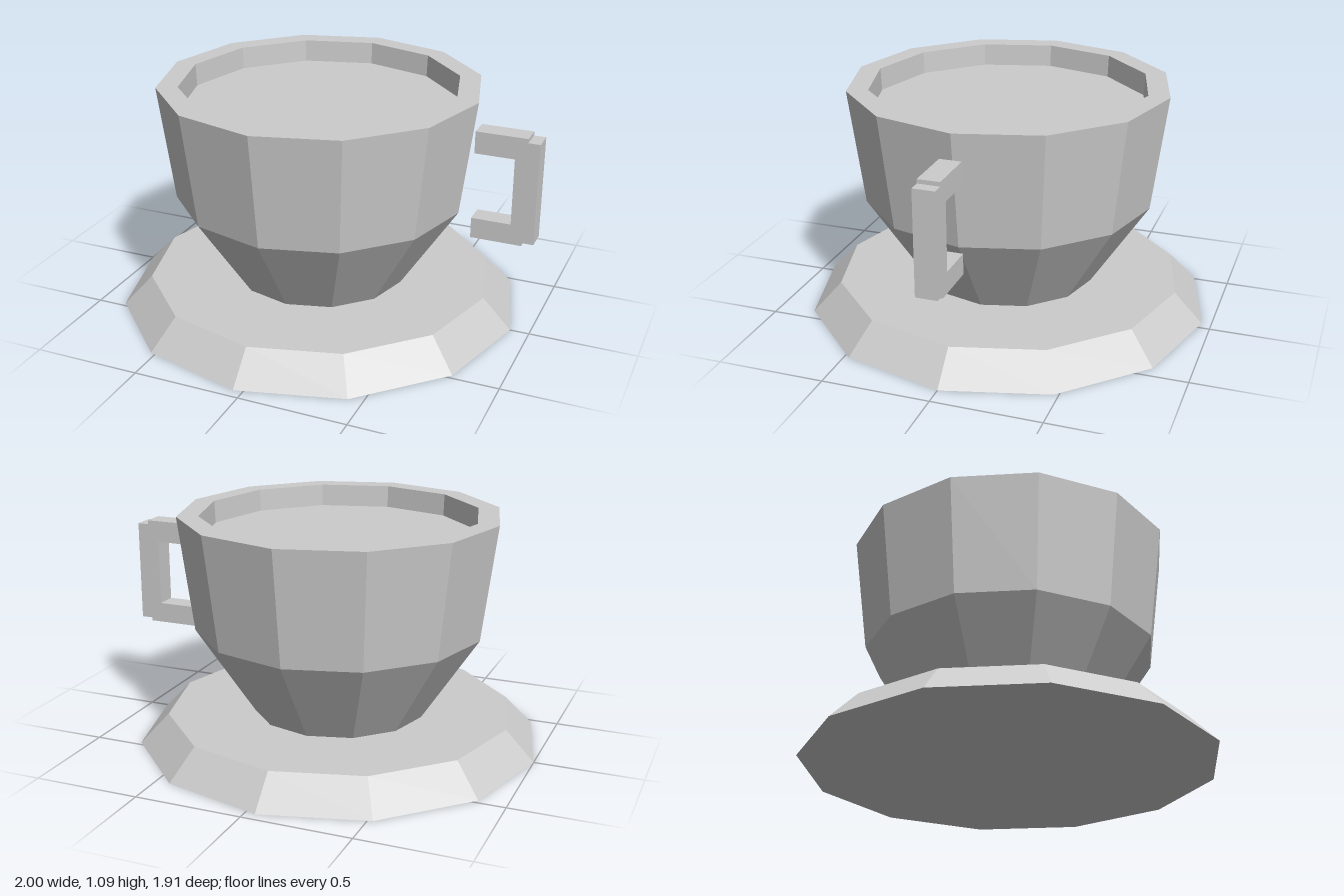
import * as THREE from 'three';

const SIDES = 12;
const AXIS_X = -0.045; // the handle shifts the cup's axis off centre

export function createModel() {
  const model = new THREE.Group();
  model.name = 'cupAndSaucer';
  const grey = new THREE.MeshStandardMaterial({ color: 0xcccccc, flatShading: true });
  grey.name = 'plainGrey';

  // Faceted solid of revolution; profile runs from the bottom outwards and up
  const turned = (name, profile) => {
    const points = profile.map(([r, y]) => new THREE.Vector2(r, y));
    const mesh = new THREE.Mesh(new THREE.LatheGeometry(points, SIDES), grey);
    mesh.name = name;
    mesh.position.x = AXIS_X;
    model.add(mesh);
  };

  turned('saucer', [[0, 0], [0.955, 0], [0.82, 0.14], [0, 0.14]]);
  // Outer wall, rim and inner wall
  turned('cup', [[0.41, 0.14], [0.68, 0.55], [0.75, 1.09], [0.65, 1.09], [0.645, 0.985]]);
  turned('drinkSurface', [[0.645, 0.985], [0, 0.985]]);

  // Handle made of three square bars
  const handle = new THREE.Group();
  handle.name = 'handle';
  const bar = (name, x0, x1, y0, y1, depth) => {
    const mesh = new THREE.Mesh(new THREE.BoxGeometry(x1 - x0, y1 - y0, depth), grey);
    mesh.name = name;
    mesh.position.set((x0 + x1) / 2, (y0 + y1) / 2, 0);
    handle.add(mesh);
  };
  bar('upperArm', 0.71, 0.946, 0.873, 0.976, 0.1);
  bar('lowerArm', 0.71, 0.946, 0.465, 0.561, 0.1);
  bar('grip', 0.892, 1.0, 0.48, 0.957, 0.1);
  model.add(handle);

  return model;
}
